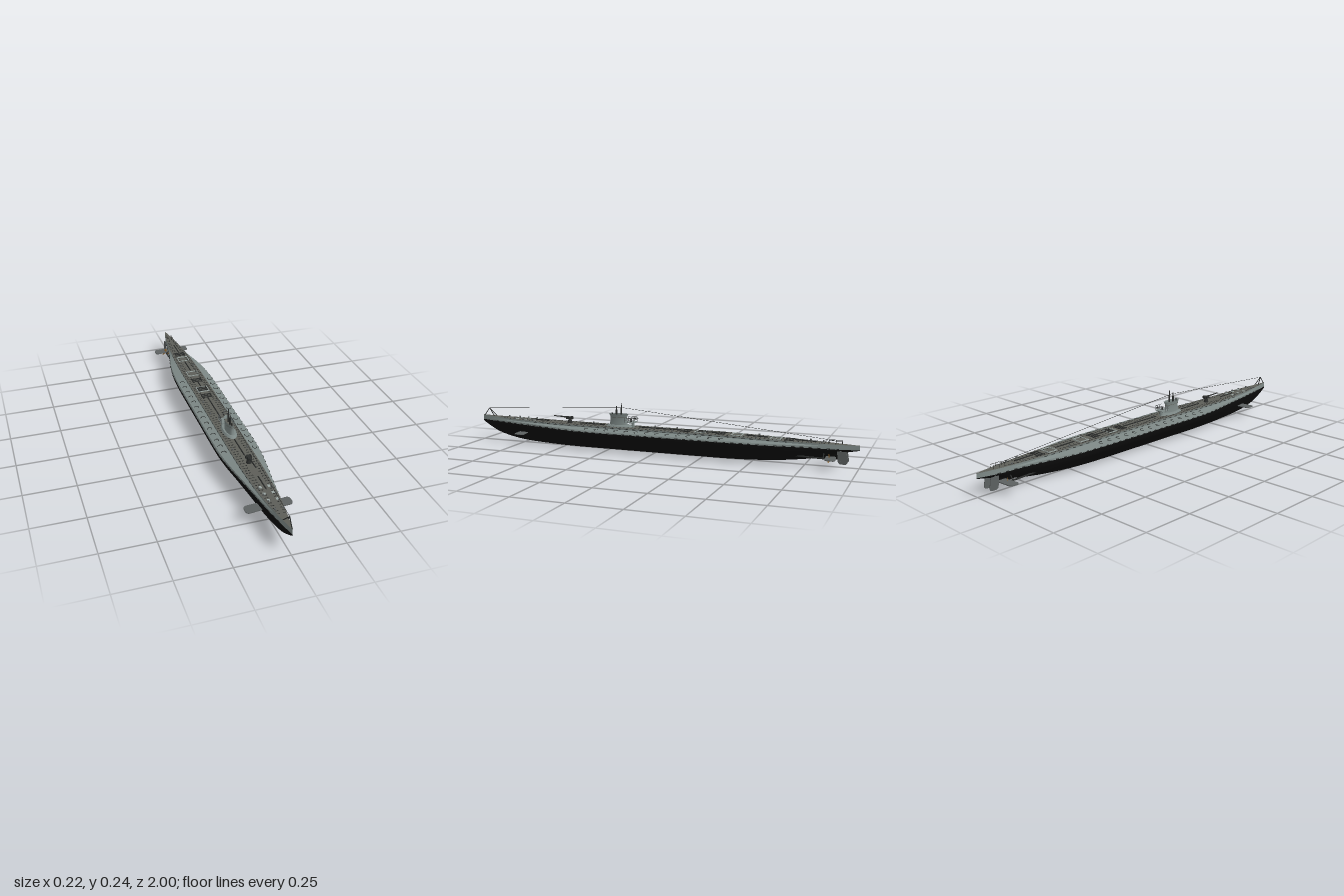
import * as THREE from 'three';
import { mergeGeometries, toCreasedNormals } from 'three/addons/utils/BufferGeometryUtils.js';

const mat = (name, color, side = THREE.FrontSide) => {
  const m = new THREE.MeshStandardMaterial({ color, side });
  m.name = name;
  return m;
};
const V = (x, y, z) => new THREE.Vector3(x, y, z);

// Hull stations: z, half width, keel y, paint line y, deck half width, deck y
const STATIONS = [
  [1.0, 0.001, 0.1, 0.108, 0.001, 0.133], [0.97, 0.008, 0.081, 0.107, 0.007, 0.131],
  [0.9, 0.021, 0.046, 0.105, 0.018, 0.128], [0.8, 0.038, 0.021, 0.102, 0.033, 0.125],
  [0.7, 0.052, 0.009, 0.1, 0.042, 0.123], [0.6, 0.066, 0.004, 0.098, 0.047, 0.121],
  [0.5, 0.081, 0.001, 0.096, 0.05, 0.12], [0.4, 0.094, 0, 0.095, 0.051, 0.12],
  [0.3, 0.1, 0, 0.095, 0.051, 0.12], [0, 0.1, 0, 0.095, 0.051, 0.12],
  [-0.3, 0.1, 0, 0.095, 0.051, 0.12], [-0.4, 0.098, 0.001, 0.095, 0.051, 0.119],
  [-0.5, 0.091, 0.004, 0.094, 0.049, 0.117], [-0.6, 0.076, 0.01, 0.092, 0.046, 0.115],
  [-0.7, 0.053, 0.02, 0.09, 0.04, 0.113], [-0.8, 0.036, 0.036, 0.088, 0.032, 0.111],
  [-0.9, 0.022, 0.064, 0.086, 0.02, 0.109], [-1.0, 0.002, 0.084, 0.087, 0.002, 0.108],
];
const SUB = 4;
const slices = [];
for (let i = 0; i < STATIONS.length - 1; i++) {
  const at = (k) => STATIONS[Math.min(Math.max(k, 0), STATIONS.length - 1)];
  for (let s = 0; s < SUB || (i === STATIONS.length - 2 && s === SUB); s++) {
    const f = s / SUB;
    slices.push(at(i).map((p, j) => {
      if (j === 0) return THREE.MathUtils.lerp(p, at(i + 1)[0], f);
      const slope = (k) => (at(k + 1)[j] - at(k - 1)[j]) / (at(k + 1)[0] - at(k - 1)[0]);
      const h = at(i + 1)[0] - at(i)[0], q = at(i + 1)[j], f2 = f * f, f3 = f2 * f;
      return Math.max(j < 3 ? 0 : 0.001, (2 * f3 - 3 * f2 + 1) * p + (f3 - 2 * f2 + f) * h * slope(i)
        + (3 * f2 - 2 * f3) * q + (f3 - f2) * h * slope(i + 1));
    }));
  }
}
function hullAt(z) {
  const i = Math.max(1, slices.findIndex((s) => s[0] <= z));
  const a = slices[i - 1], b = slices[i], f = (a[0] - z) / (a[0] - b[0]);
  return { w: a[1] + (b[1] - a[1]) * f, b: a[3] + (b[3] - a[3]) * f, d: a[4] + (b[4] - a[4]) * f, t: a[5] + (b[5] - a[5]) * f };
}

// Skin cross-sections running from bow to stern
function loft(section) {
  const pos = [], idx = [];
  const rows = slices.map(section), n = rows[0].length;
  rows.forEach((r, i) => r.forEach(([x, y]) => pos.push(x, y, slices[i][0])));
  for (let i = 0; i < rows.length - 1; i++) for (let j = 0; j < n - 1; j++) {
    const a = i * n + j, c = a + n;
    idx.push(a, a + 1, c, a + 1, c + 1, c);
  }
  const g = new THREE.BufferGeometry();
  g.setAttribute('position', new THREE.Float32BufferAttribute(pos, 3));
  g.setIndex(idx);
  return toCreasedNormals(g, 0.5);
}
const BELLY = [[1, 1], [0.98, 0.82], [0.9, 0.68], [0.76, 0.5], [0.66, 0.36], [0.52, 0.2], [0.38, 0.1], [0.2, 0.03], [0, 0]];
const bellySection = ([, w, k, b]) => {
  const half = BELLY.map(([x, y]) => [x * w, k + y * (b - k)]);
  return [...half, ...half.slice(0, -1).reverse().map(([x, y]) => [-x, y])];
};
const sideSection = ([, w, , b, d, t]) => {
  const h = t - b;
  return [[d, t], [d, b + 0.66 * h], [d + (w - d) * 0.92, b + 0.4 * h], [w, b + 0.15 * h], [w, b]];
};

const box = (w, h, d, x, y, z) => new THREE.BoxGeometry(w, h, d).translate(x, y, z);
const ball = (r, x, y, z) => new THREE.SphereGeometry(r, 10, 8).translate(x, y, z);
function rod(a, b, r, seg = 6, r2 = r) {
  const dir = b.clone().sub(a);
  return new THREE.CylinderGeometry(r2, r, dir.length(), seg)
    .applyQuaternion(new THREE.Quaternion().setFromUnitVectors(V(0, 1, 0), dir.clone().normalize()))
    .translate(...a.clone().add(b).multiplyScalar(0.5).toArray());
}
// Flat fin with a rounded outline, lying in the xz plane
function fin(x0, x1, z, chord, y) {
  const s = new THREE.Shape(), c = chord / 2, r = chord * 0.3;
  s.moveTo(x0, -c * 0.7); s.lineTo(x1 - r, -c); s.quadraticCurveTo(x1, -c, x1, -c + r);
  s.lineTo(x1, c - r * 1.6); s.quadraticCurveTo(x1, c * 0.8, x1 - r, c * 0.8); s.lineTo(x0, c);
  return new THREE.ExtrudeGeometry(s, { depth: 0.004, bevelEnabled: false }).rotateX(Math.PI / 2).translate(0, y + 0.002, z);
}

export function createModel() {
  const root = new THREE.Group();
  const black = mat('hull black', 0x0c0c0c), grey = mat('hull grey', 0x7c8785), greyOpen = mat('tower grey', 0x7c8785, THREE.DoubleSide);
  const deckM = mat('deck grey', 0x5d5e58), dark = mat('dark steel', 0x2b2d2c), steel = mat('fin steel', 0x5c6060);
  const pale = mat('pale trim', 0x9aa5a2), bronze = mat('bronze', 0x9c6b2e);
  const add = (name, geos, m) => {
    const list = [].concat(geos).map((g) => (g.index ? g.toNonIndexed() : g));
    const mesh = new THREE.Mesh(list.length > 1 ? mergeGeometries(list) : list[0], m);
    mesh.name = name;
    root.add(mesh);
  };

  // Hull shell
  add('lowerHull', loft(bellySection), black);
  add('upperHullLeft', loft(sideSection), grey);
  add('upperHullRight', loft((s) => sideSection(s).reverse().map(([x, y]) => [-x, y])), grey);
  add('deck', loft((s) => [[-s[4], s[5]], [s[4], s[5]]]), deckM);

  // Deck slots, flood holes and tank vents
  const slots = [], holes = [], vents = [];
  for (let i = 0; i < 88; i++) {
    const z = 0.88 - i * 0.02, { d, t } = hullAt(z);
    for (const f of [-0.78, -0.48, 0.48, 0.78]) slots.push(box(d * 0.2, 0.001, 0.004, (f + (i % 2) * 0.06) * d, t + 0.0006, z));
  }
  for (let i = 0; i < 46; i++) {
    const z = 0.9 - i * 0.04, { w, b, d, t } = hullAt(z);
    for (const s of [-1, 1]) {
      holes.push(box(0.003, 0.0035, 0.016, s * w, b + 0.0025, z));
      if (Math.abs(z) < 0.7) holes.push(box(0.002, 0.003, 0.018, s * d, t - 0.004, z));
    }
  }
  for (let i = 0; i < 14; i++) for (const s of [-1, 1])
    vents.push(new THREE.TorusGeometry(0.011, 0.0014, 5, 12, 4.2).rotateX(-Math.PI / 2).rotateY(s > 0 ? 2.1 : -1).rotateZ(-s * 0.13)
      .translate(s * 0.076, 0.1086, 0.35 - i * 0.0545));
  add('deckSlots', slots, dark);
  add('floodHoles', holes, dark);
  add('tankVents', vents, dark);

  // Hatches, gratings and stowage rails along the deck
  const frames = [], grates = [], fittings = [];
  for (const z of [-0.61, -0.42, -0.235]) {
    const { t } = hullAt(z), y = t + 0.002;
    for (const s of [-1, 1]) {
      frames.push(box(0.003, 0.004, 0.05, s * 0.028, y, z), box(0.059, 0.004, 0.003, 0, y, z + s * 0.024));
    }
  }
  for (const z of [-0.675, -0.34, -0.24, -0.165]) {
    const { t } = hullAt(z);
    for (let k = -1; k <= 1; k++) grates.push(box(0.052, 0.003, 0.006, 0, t + 0.0015, z + k * 0.015));
    for (const s of [-1, 1]) grates.push(box(0.004, 0.004, 0.044, s * 0.024, t + 0.002, z));
  }
  for (const [z0, z1] of [[0.09, -0.14], [-0.26, -0.32], [-0.46, -0.57], [-0.7, -0.8], [0.42, 0.28], [0.7, 0.6]])
    grates.push(rod(V(0, hullAt(z0).t + 0.003, z0), V(0, hullAt(z1).t + 0.003, z1), 0.003));
  for (const z of [0.85, 0.79, 0.74, 0.69, 0.36, 0.02, -0.1, -0.52, -0.77, -0.83]) {
    const { d, t } = hullAt(z);
    for (const s of [-1, 1]) fittings.push(rod(V(s * d * 0.72, t, z), V(s * d * 0.72, t + 0.008, z), 0.004, 8));
  }
  for (const z of [0.78, 0.73, 0.68]) for (const s of [-1, 1]) frames.push(box(0.012, 0.003, 0.014, s * 0.02, hullAt(z).t + 0.0015, z));
  add('hatchFrames', frames, pale);
  add('gratings', grates, dark);
  add('bollards', fittings, steel);

  // Conning tower with open bridge
  const wall = [[0.022, 0.118], [0.019, 0.125], [0.0175, 0.15], [0.0175, 0.17], [0.0205, 0.184]];
  add('conningTower', new THREE.LatheGeometry(wall.map(([x, y]) => new THREE.Vector2(x, y)), 28).scale(1, 1, 2.6).translate(0, 0, 0.203), greyOpen);
  add('bridgeFloor', new THREE.CylinderGeometry(0.0176, 0.0176, 0.002, 28).scale(1, 1, 2.6).translate(0, 0.167, 0.203), deckM);
  add('towerCasing', new THREE.CylinderGeometry(0.027, 0.034, 0.01, 28).scale(1, 1, 2.3).translate(0, 0.124, 0.195), grey);

  // Gun platform and railing aft of the bridge
  add('gunPlatform', [box(0.052, 0.003, 0.05, 0, 0.145, 0.137), rod(V(0, 0.119, 0.125), V(0, 0.145, 0.125), 0.008, 10)], grey);
  const rails = [];
  for (const y of [0.157, 0.169]) {
    for (const s of [-1, 1]) rails.push(rod(V(s * 0.026, y, 0.113), V(s * 0.026, y, 0.161), 0.001));
    rails.push(rod(V(-0.026, y, 0.113), V(0.026, y, 0.113), 0.001));
  }
  for (const x of [-0.026, 0.026]) for (const z of [0.113, 0.129, 0.145, 0.161]) rails.push(rod(V(x, 0.145, z), V(x, 0.169, z), 0.001));
  add('platformRailing', rails, steel);
  add('antiAircraftGun', [rod(V(0, 0.145, 0.135), V(0, 0.162, 0.135), 0.004, 8), rod(V(0, 0.161, 0.142), V(0, 0.168, 0.095), 0.002)], dark);

  // Periscopes and aerial mast
  add('periscopes', [
    rod(V(0, 0.165, 0.188), V(0, 0.215, 0.188), 0.004, 10), rod(V(0, 0.215, 0.188), V(0, 0.239, 0.188), 0.002, 8),
    rod(V(0, 0.165, 0.215), V(0, 0.205, 0.215), 0.0045, 10), rod(V(0, 0.205, 0.215), V(0, 0.222, 0.215), 0.002, 8),
    ball(0.004, 0, 0.185, 0.238), rod(V(0, 0.165, 0.238), V(0, 0.185, 0.238), 0.003, 8),
  ], dark);

  // Deck gun
  add('deckGun', [
    rod(V(0, 0.119, 0.48), V(0, 0.142, 0.48), 0.013, 12, 0.007), box(0.016, 0.012, 0.035, 0, 0.146, 0.48),
    rod(V(0, 0.148, 0.46), V(0, 0.152, 0.572), 0.0045, 8, 0.0025),
    box(0.005, 0.012, 0.014, 0.012, 0.147, 0.475), box(0.005, 0.012, 0.014, -0.012, 0.147, 0.475),
  ], dark);

  // Bow frame, aerial wires and stern rail
  const apex = V(0, 0.17, 0.962), top = V(0, 0.218, 0.2);
  add('bowFrame', [rod(V(0, 0.131, 0.992), apex, 0.0022), rod(V(0.012, 0.128, 0.925), apex, 0.0022), rod(V(-0.012, 0.128, 0.925), apex, 0.0022)], dark);
  add('aerialWires', [rod(apex, top, 0.0009, 5), rod(top, V(0, 0.125, -0.88), 0.0009, 5)], dark);
  const sternRail = [];
  for (const s of [-1, 1]) {
    for (const z of [-0.86, -0.89, -0.92]) sternRail.push(rod(V(s * 0.012, 0.108, z), V(s * 0.012, 0.125, z), 0.001));
    sternRail.push(rod(V(s * 0.012, 0.125, -0.86), V(s * 0.012, 0.125, -0.92), 0.001));
  }
  add('sternRail', sternRail, dark);

  // Diving planes, rudders, shafts and propellers, one set per side
  for (const s of [-1, 1]) {
    const side = s > 0 ? 'Left' : 'Right', turn = s > 0 ? 0 : Math.PI;
    add('bowPlane' + side, fin(0.02, 0.11, s * 0.73, 0.06, 0.06).rotateY(turn), steel);
    add('sternPlane' + side, fin(0.004, 0.096, s * -0.875, 0.055, 0.047).rotateY(turn), steel);
    add('rudder' + side, [
      fin(0, 0.06, 0, 0.05, 0).rotateZ(-Math.PI / 2).translate(s * 0.02, 0.078, -0.925),
      rod(V(s * 0.02, 0.03, -0.915), V(s * 0.014, 0.09, -0.915), 0.003)], steel);
    add('shaft' + side, [rod(V(s * 0.028, 0.045, -0.7), V(s * 0.034, 0.042, -0.866), 0.004, 8),
      rod(V(s * 0.034, 0.043, -0.84), V(s * 0.014, 0.075, -0.84), 0.003)], dark);
    const blades = [ball(0.006, 0, 0, 0)];
    for (let k = 0; k < 3; k++)
      blades.push(new THREE.SphereGeometry(1, 10, 6).scale(0.0065, 0.012, 0.0015).rotateY(s * 0.6).translate(0, 0.012, 0).rotateZ(k * Math.PI * 2 / 3));
    add('propeller' + side, blades.map((g) => g.translate(s * 0.034, 0.042, -0.866)), bronze);
  }
  add('skeg', box(0.006, 0.045, 0.1, 0, 0.058, -0.86), black);
  return root;
}
